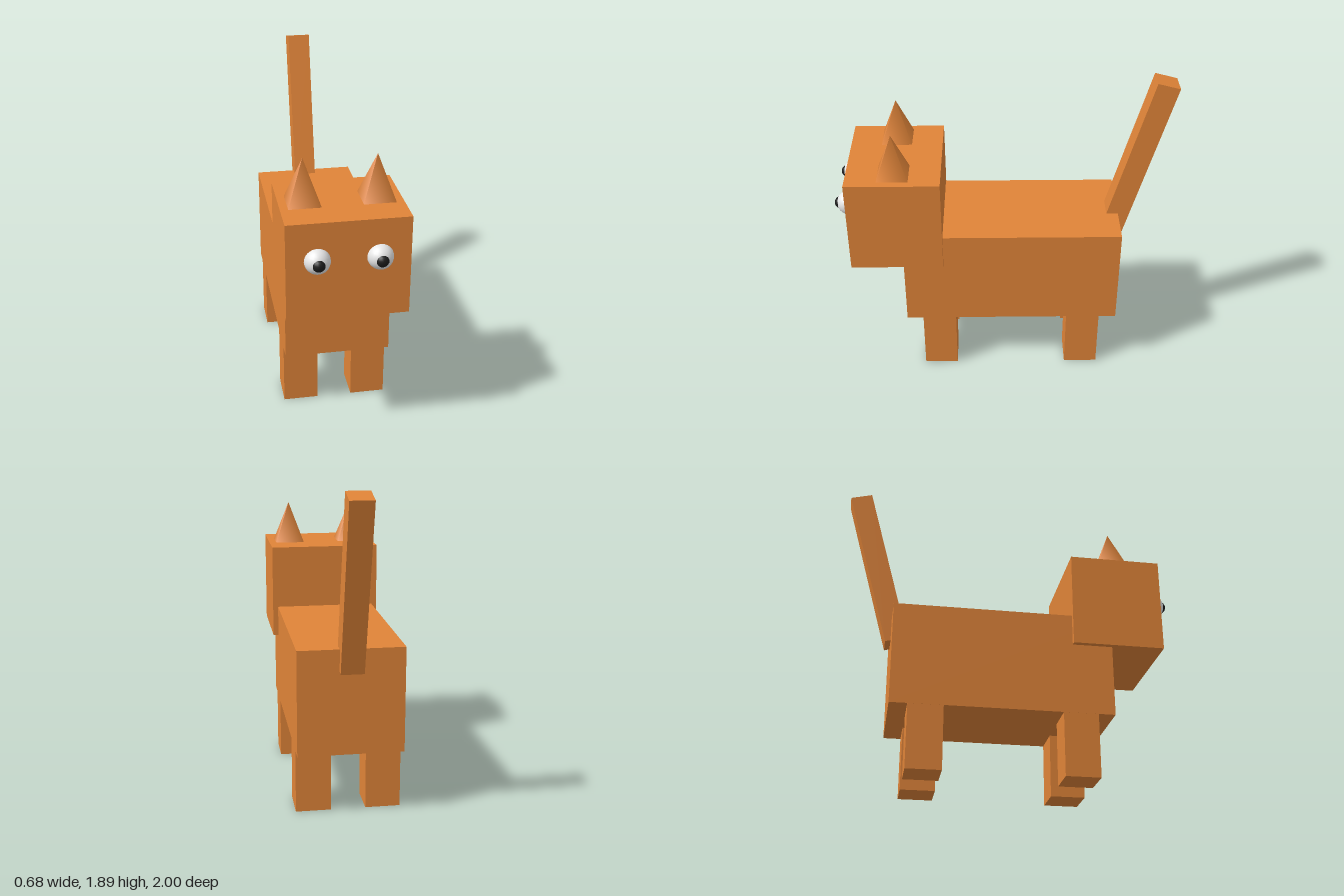
import * as THREE from 'three';

export function createModel() {
  const mat = (name, color) => {
    const m = new THREE.MeshStandardMaterial({ color });
    m.name = name;
    return m;
  };
  const fur = mat('orange fur', 0xe08438);
  const white = mat('eye white', 0xf5f5f5);
  const black = mat('pupil black', 0x1c1c1c);

  const cat = new THREE.Group();
  cat.name = 'cat';

  const add = (name, geometry, material, x, y, z) => {
    const mesh = new THREE.Mesh(geometry, material);
    mesh.name = name;
    mesh.position.set(x, y, z);
    cat.add(mesh);
    return mesh;
  };

  // Body and head
  add('body', new THREE.BoxGeometry(0.616, 0.62, 1.305), fur, 0, 0.69, -0.0475);
  add('head', new THREE.BoxGeometry(0.68, 0.58, 0.55), fur, 0, 1.1, 0.64);

  // Tail leaning backwards
  const tail = add('tail', new THREE.BoxGeometry(0.135, 1.026, 0.135), fur, 0, 1.375, -0.8);
  tail.rotation.x = -THREE.MathUtils.degToRad(15);

  // Four-sided ears with edges along the axes
  const earGeometry = new THREE.ConeGeometry(0.128, 0.255, 4).rotateY(Math.PI / 4);
  const legGeometry = new THREE.BoxGeometry(0.205, 0.38, 0.205);
  const eyeGeometry = new THREE.SphereGeometry(0.072, 24, 16);
  const pupilGeometry = new THREE.SphereGeometry(0.038, 16, 12);

  // Mirrored pairs
  for (const [side, s] of [['left', 1], ['right', -1]]) {
    add(side + 'FrontLeg', legGeometry, fur, s * 0.205, 0.19, 0.403);
    add(side + 'BackLeg', legGeometry, fur, s * 0.205, 0.19, -0.493);
    add(side + 'Ear', earGeometry, fur, s * 0.205, 1.5175, 0.64);
    add(side + 'Eye', eyeGeometry, white, s * 0.17, 1.17, 0.915);
    add(side + 'Pupil', pupilGeometry, black, s * 0.17, 1.17, 0.962);
  }

  return cat;
}
